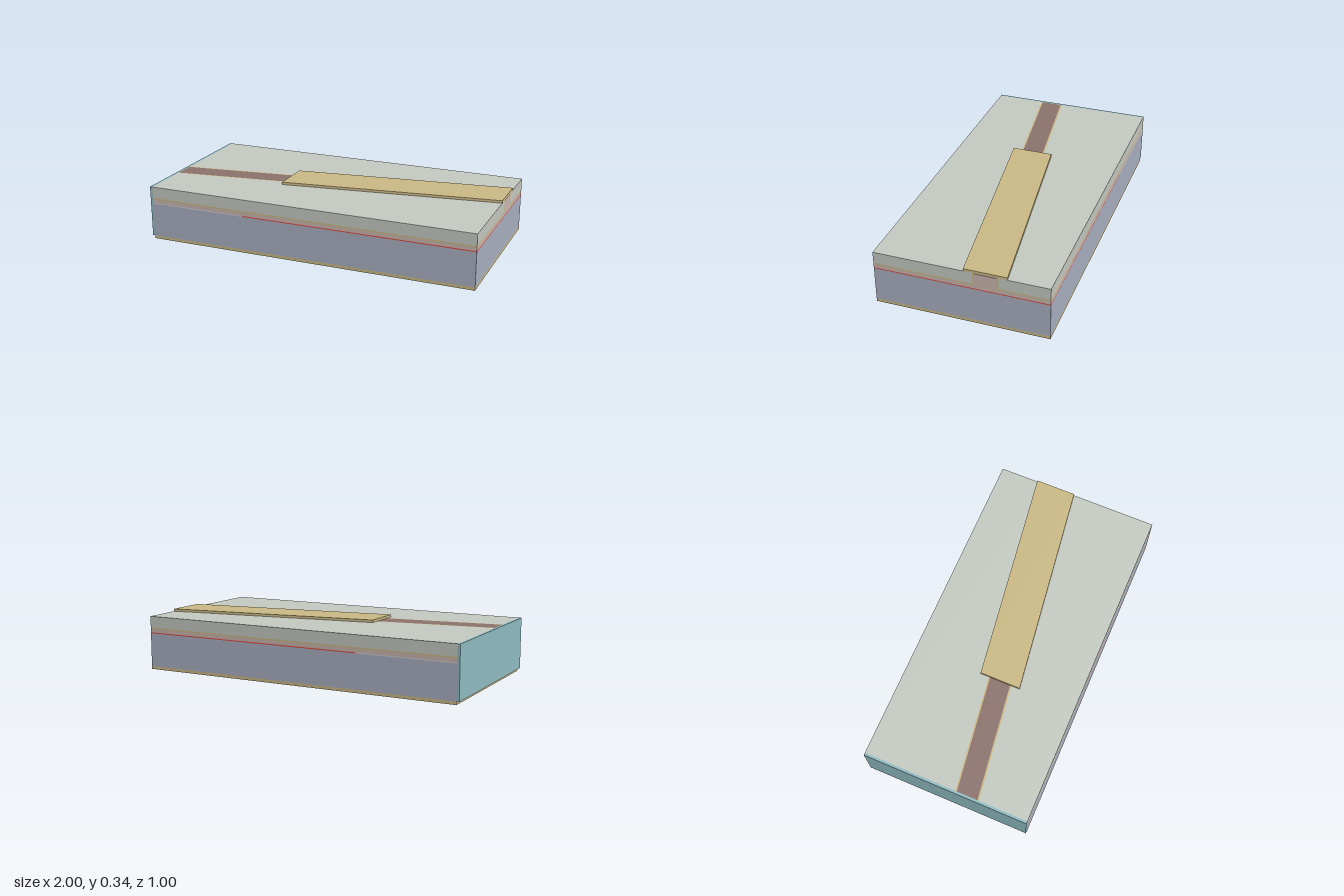
import * as THREE from 'three';

const mat = (name, color) => new THREE.MeshStandardMaterial({ name, color });

export function createModel() {
  const group = new THREE.Group();
  const blueGrey = mat('blue grey', 0xa9afc1);
  const gold = mat('gold', 0xcab985);
  const pink = mat('dusty pink', 0xcab6ae);
  const red = mat('red', 0xe04840);
  const pale = mat('pale grey', 0xcfcbd0);
  const sage = mat('sage grey', 0xc4c9c1);
  const brown = mat('brown', 0x8c726c);
  const teal = mat('teal', 0x8fbbc0);

  const X0 = -0.985, X1 = 1, Z = 0.5;
  // centre line of the tilted ridge
  const mid = (x) => -0.003 - 0.139 * x;

  // upright prism between two edges z = near(x) and z = far(x)
  function slab(name, material, xa, xb, ya, yb, far = () => -Z, near = () => Z) {
    const outline = new THREE.Shape([
      new THREE.Vector2(xa, far(xa)), new THREE.Vector2(xb, far(xb)),
      new THREE.Vector2(xb, near(xb)), new THREE.Vector2(xa, near(xa)),
    ]);
    const geo = new THREE.ExtrudeGeometry(outline, { depth: yb - ya, bevelEnabled: false });
    geo.rotateX(Math.PI / 2).translate(0, yb, 0);
    const mesh = new THREE.Mesh(geo, material);
    mesh.name = name;
    group.add(mesh);
  }
  const offset = (d) => (x) => mid(x) + d;

  // flat layers, bottom to top
  slab('bottomContact', gold, X0, X1, 0, 0.018);
  slab('substrate', blueGrey, X0, X1, 0.018, 0.221);
  slab('passiveLayer', pale, X0, -0.39, 0.221, 0.227);
  slab('activeLayer', red, -0.39, X1, 0.221, 0.227);
  slab('upperCladding', pink, X0, X1, 0.227, 0.248);

  // tilted ridge and its dark cap
  const R = 0.063, W = 0.072, TOP = 0.325;
  slab('ridge', pink, X0, X1, 0.248, 0.317, offset(-R), offset(R));
  slab('ridgeCap', brown, X0, X1, 0.317, TOP, offset(-R), offset(R));

  // liner and filler on both sides of the ridge
  slab('backLiner', gold, X0, X1, 0.248, 0.256, undefined, offset(-W));
  slab('frontLiner', gold, X0, X1, 0.248, 0.256, offset(W), undefined);
  slab('backRidgeWall', gold, X0, X1, 0.248, TOP, offset(-W), offset(-R));
  slab('frontRidgeWall', gold, X0, X1, 0.248, TOP, offset(R), offset(W));
  slab('backFiller', sage, X0, X1, 0.256, TOP, undefined, offset(-W));
  slab('frontFiller', sage, X0, X1, 0.256, TOP, offset(W), undefined);

  // top contact strip and end coating
  slab('topContact', gold, -0.295, X1, TOP, 0.34, offset(-0.123), offset(0.123));
  slab('endCoating', teal, -1, X0, 0.018, TOP);

  return group;
}
